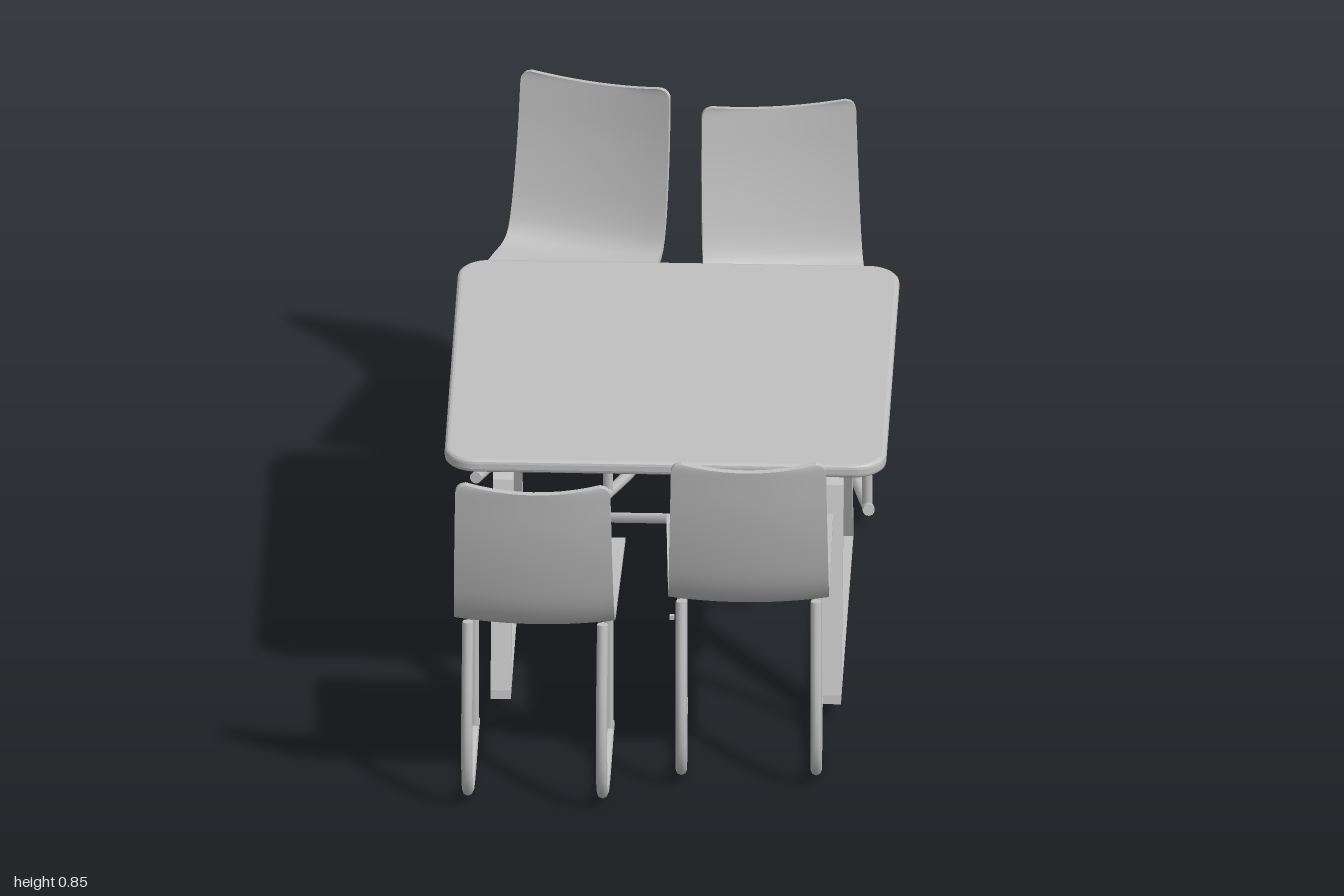
import * as THREE from 'three';

const grey = new THREE.MeshStandardMaterial({ color: 0xc0c0c0 });
grey.name = 'grey';

function add(parent, name, geometry, x = 0, y = 0, z = 0) {
  const mesh = new THREE.Mesh(geometry, grey);
  mesh.name = name;
  mesh.position.set(x, y, z);
  parent.add(mesh);
  return mesh;
}

// Square top with rounded corners and a soft edge
function tableTopGeometry() {
  const h = 0.475, r = 0.06, a = h - r;
  const s = new THREE.Shape();
  s.absarc(a, a, r, 0, Math.PI / 2);
  s.absarc(-a, a, r, Math.PI / 2, Math.PI);
  s.absarc(-a, -a, r, Math.PI, Math.PI * 1.5);
  s.absarc(a, -a, r, Math.PI * 1.5, Math.PI * 2);
  return new THREE.ExtrudeGeometry(s, {
    depth: 0.012, bevelThickness: 0.01, bevelSize: 0.01, bevelSegments: 3, curveSegments: 6,
  }).rotateX(-Math.PI / 2);
}

// Arched trestle: flat bars following a faceted arch, closed by a floor bar
function trestleGeometry() {
  const mirrored = (half) => [...half, ...half.slice(0, -1).reverse().map(([z, y]) => [-z, y])]
    .map(([z, y]) => new THREE.Vector2(z, y));
  const shape = new THREE.Shape(mirrored(
    [[0.408, 0.04], [0.405, 0.06], [0.24, 0.495], [0.16, 0.592], [0.08, 0.625], [0, 0.638]]));
  shape.holes.push(new THREE.Path(mirrored(
    [[0.37, 0.056], [0.212, 0.478], [0.14, 0.568], [0.065, 0.602], [0, 0.614]])));
  return new THREE.ExtrudeGeometry(shape, { depth: 0.045, bevelEnabled: false })
    .translate(0, 0, -0.0225).rotateY(Math.PI / 2);
}

// One-piece seat and back: a thin slab bent along a side profile and dished across
function shellGeometry() {
  const profile = new THREE.CatmullRomCurve3([
    [0.492, 0], [0.487, -0.1], [0.48, -0.25], [0.475, -0.325], [0.487, -0.36],
    [0.53, -0.385], [0.62, -0.41], [0.72, -0.428], [0.85, -0.442],
  ].map(([y, z]) => new THREE.Vector3(0, y, z)));
  const length = profile.getLength(), corner = 0.022, thickness = 0.013;
  const g = new THREE.BoxGeometry(2, thickness, 1, 10, 1, 40);
  const p = g.attributes.position;
  for (let i = 0; i < p.count; i++) {
    const u = p.getX(i), off = p.getY(i);
    const s = 1 - Math.pow(p.getZ(i) + 0.5, 1.5);
    const c = profile.getPointAt(s), t = profile.getTangentAt(s);
    // narrow towards the back, with rounded top corners
    let w = 0.183 - 0.013 * s;
    const d = (1 - s) * length;
    if (d < corner) w -= corner - Math.sqrt(corner ** 2 - (corner - d) ** 2);
    const dish = 1 - u * u;
    const n = off - dish * 0.012 * Math.min(1, 0.3 + s * 2);
    const dip = 0.014 * dish * Math.max(0, s - 0.75) * 4;
    p.setXYZ(i, u * w, c.y - t.z * n - dip, c.z + t.y * n);
  }
  g.computeVertexNormals();
  return g;
}

// Curved rear tube that sweeps under the chair to the front foot
function legTubeGeometry() {
  const path = new THREE.CatmullRomCurve3([
    [0.445, -0.318], [0.36, -0.34], [0.25, -0.365], [0.15, -0.372], [0.07, -0.355],
    [0.026, -0.31], [0.014, -0.23], [0.022, -0.17], [0.048, -0.035],
  ].map(([y, z]) => new THREE.Vector3(0, y, z)));
  return new THREE.TubeGeometry(path, 20, 0.0125, 8);
}

const shell = shellGeometry();
const legTube = legTubeGeometry();
const post = new THREE.CylinderGeometry(0.0115, 0.0115, 0.395, 8);
const foot = new THREE.CylinderGeometry(0.0135, 0.0135, 0.022, 10).rotateX(Math.PI / 2 - 0.15);
const cap = new THREE.CircleGeometry(0.0125, 8).rotateX(-Math.PI / 2);

// Chair with its origin under the middle of the seat's front edge
function makeChair(name, x, z, turn) {
  const chair = new THREE.Group();
  chair.name = name;
  chair.position.set(x, 0, z);
  chair.rotation.y = turn;
  add(chair, 'seatShell', shell);
  for (const side of [-1, 1]) {
    const lx = side * 0.148;
    add(chair, 'rearLegTube', legTube, lx);
    add(chair, 'rearLegCap', cap, lx, 0.446, -0.318);
    add(chair, 'frontLegPost', post, lx, 0.2475, -0.046);
    add(chair, 'frontFoot', foot, lx, 0.05, -0.032);
  }
  return chair;
}

export function createModel() {
  const model = new THREE.Group();
  model.name = 'diningSet';

  // Table
  const table = new THREE.Group();
  table.name = 'table';
  table.position.z = 0.036;
  model.add(table);
  add(table, 'tableTop', tableTopGeometry(), 0, 0.646, 0);
  const trestle = trestleGeometry();
  for (const side of [-1, 1]) add(table, 'trestle', trestle, side * 0.3625, 0, 0);
  // Triangular rod joining the trestles
  const rod = new THREE.CylinderGeometry(0.013, 0.013, 0.68, 3).rotateZ(Math.PI / 2);
  rod.rotateX(-Math.PI / 2);
  rod.computeBoundingBox();
  // keep one ridge uppermost
  if (rod.boundingBox.max.y < -rod.boundingBox.min.y) rod.rotateX(Math.PI);
  add(table, 'crossRod', rod, 0, 0.282, 0);
  add(table, 'centreStud', new THREE.BoxGeometry(0.01, 0.01, 0.01), 0, 0.039, 0);

  // Chairs: x, z of the seat front, and turn
  model.add(
    makeChair('frontRightChair', -0.268, 0.549, Math.PI - 0.012),
    makeChair('frontLeftChair', 0.184, 0.428, Math.PI + 0.028),
    makeChair('backRightChair', -0.315, -0.535, -0.26),
    makeChair('backLeftChair', 0.272, -0.424, 0.155),
  );
  return model;
}
